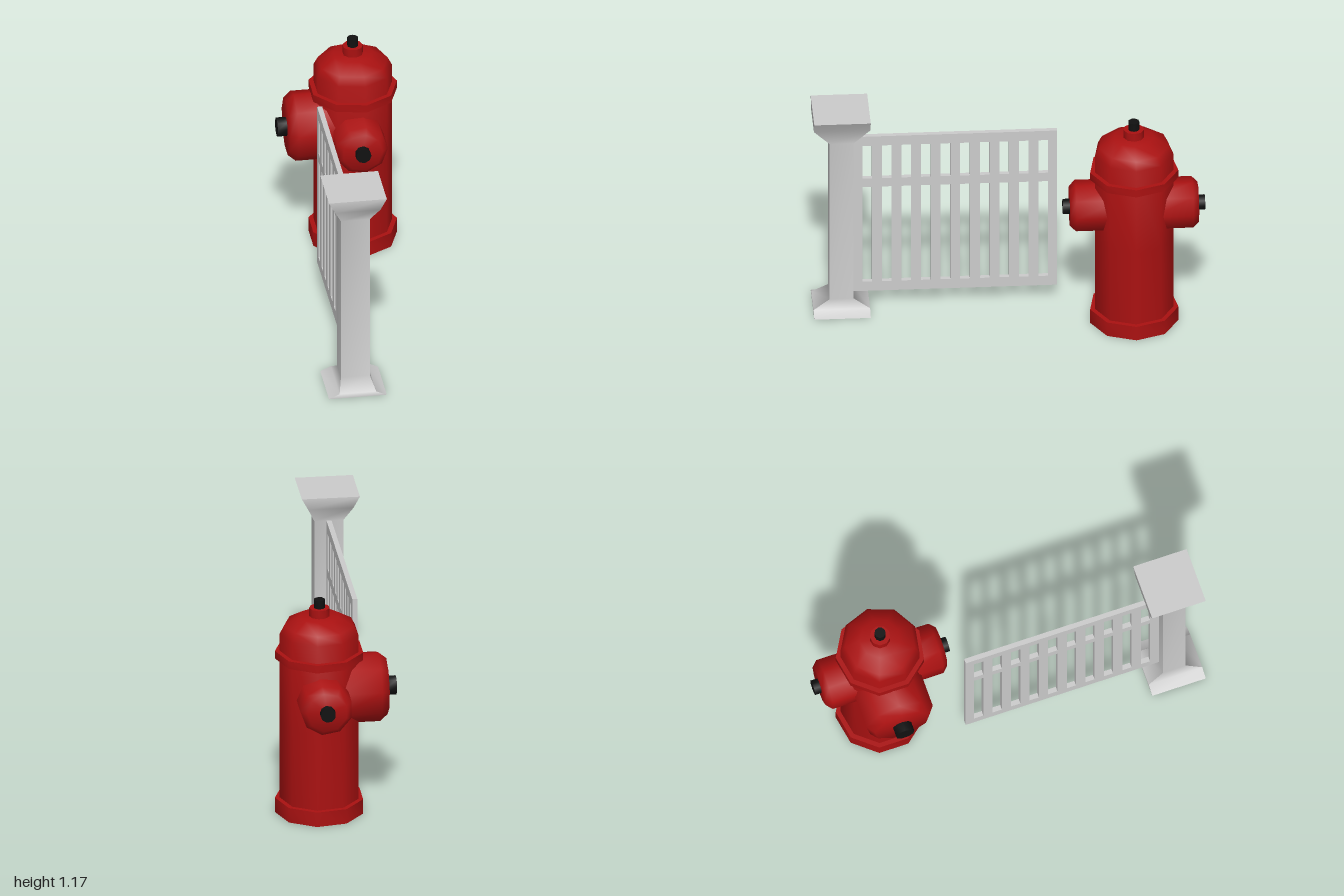
import * as THREE from 'three';
import { toCreasedNormals } from 'three/addons/utils/BufferGeometryUtils.js';

const grey = new THREE.MeshStandardMaterial({ color: 0xcccccc });
const red = new THREE.MeshStandardMaterial({ color: 0xaa1111, side: THREE.DoubleSide });
const black = new THREE.MeshStandardMaterial({ color: 0x111111 });

function add(parent, name, geometry, material) {
  const mesh = new THREE.Mesh(geometry, material);
  mesh.name = name;
  parent.add(mesh);
  return mesh;
}

// Nine-sided turned shape with a corner on +x; points are [radius, height]
function turned(points) {
  const profile = points.map(([r, y]) => new THREE.Vector2(r, y));
  return toCreasedNormals(new THREE.LatheGeometry(profile, 9, Math.PI / 2), 1.0);
}

const ring = (inner, outer, y0, y1) =>
  turned([[inner, y0], [outer, y0], [outer, y1], [inner, y1], [inner, y0]]);

// Capped outlet pointing up its own y axis, with a dark nut on the end
function outlet(name, radius, faceRadius, bevel, length, nutRadius, nutLength) {
  const group = new THREE.Group();
  group.name = name;
  add(group, name + 'Cap', turned([
    [radius, 0.08], [radius, length - bevel], [faceRadius, length], [0, length],
  ]), red);
  add(group, name + 'Nut', turned([
    [nutRadius, length], [nutRadius, length + nutLength], [0, length + nutLength],
  ]), black);
  group.position.y = 0.675;
  return group;
}

function createHydrant() {
  const hydrant = new THREE.Group();
  hydrant.name = 'hydrant';
  // Hollow barrel closed by a rounded dome
  add(hydrant, 'barrel', turned([
    [0.205, 0], [0.205, 0.5], [0.205, 0.99], [0.182, 1.035], [0.105, 1.08], [0, 1.08],
  ]), red);
  add(hydrant, 'baseRing', ring(0.2, 0.23, 0, 0.08), red);
  add(hydrant, 'upperRing', ring(0.2, 0.23, 0.853, 0.895), red);
  add(hydrant, 'topCollar', turned([[0.053, 1.07], [0.053, 1.125], [0, 1.125]]), red);
  add(hydrant, 'topNut', turned([[0.029, 1.12], [0.029, 1.17], [0, 1.17]]), black);

  // Two small outlets on the front and back, one large on the side
  for (const [name, side] of [['frontOutlet', 1], ['backOutlet', -1]]) {
    const small = outlet(name, 0.136, 0.105, 0.03, 0.33, 0.04, 0.035);
    small.rotation.x = side * Math.PI / 2;
    hydrant.add(small);
  }
  const large = outlet('sideOutlet', 0.183, 0.15, 0.04, 0.345, 0.05, 0.05);
  large.rotation.z = Math.PI / 2;
  hydrant.add(large);

  hydrant.position.set(0.08, 0, -0.635);
  return hydrant;
}

// Square post with flared foot and head: each side is a smooth strip, corners stay sharp
function postGeometry() {
  const sections = [ // [height, half width, half depth]
    [0, 0.15, 0.145], [0.025, 0.095, 0.145], [0.075, 0.075, 0.0615],
    [1.0, 0.075, 0.0615], [1.1, 0.117, 0.145], [1.16, 0.15, 0.145],
  ];
  const corners = [[-1, 1], [1, 1], [1, -1], [-1, -1]];
  const position = [], index = [];
  for (let s = 0; s < 4; s++) {
    const start = position.length / 3;
    for (const [y, w, d] of sections) {
      for (const [cx, cz] of [corners[s], corners[(s + 1) % 4]]) position.push(cx * w, y, cz * d);
    }
    for (let i = 0; i < sections.length - 1; i++) {
      const a = start + i * 2;
      index.push(a, a + 1, a + 3, a, a + 3, a + 2);
    }
  }
  // Flat underside and top
  for (const [section, order] of [[sections[0], [0, 2, 1, 0, 3, 2]], [sections[5], [0, 1, 2, 0, 2, 3]]]) {
    const start = position.length / 3;
    for (const [cx, cz] of corners) position.push(cx * section[1], section[0], cz * section[2]);
    index.push(...order.map((i) => start + i));
  }
  const geometry = new THREE.BufferGeometry();
  geometry.setAttribute('position', new THREE.Float32BufferAttribute(position, 3));
  geometry.setIndex(index);
  geometry.computeVertexNormals();
  return geometry;
}

function rectangle(path, x0, y0, x1, y1) {
  path.moveTo(x0, y0);
  path.lineTo(x1, y0);
  path.lineTo(x1, y1);
  path.lineTo(x0, y1);
  path.closePath();
  return path;
}

// Thin panel with two rows of upright slots, drawn along -z
function panelGeometry() {
  const shape = rectangle(new THREE.Shape(), -0.795, 0.08, 0.255, 1.0);
  for (let i = 0; i < 10; i++) {
    const x = -0.745 + i * 0.1005;
    shape.holes.push(rectangle(new THREE.Path(), x, 0.135, x + 0.05, 0.70));
    shape.holes.push(rectangle(new THREE.Path(), x, 0.75, x + 0.05, 0.945));
  }
  const geometry = new THREE.ExtrudeGeometry(shape, { depth: 0.026, bevelEnabled: false });
  return geometry.rotateY(Math.PI / 2);
}

export function createModel() {
  const model = new THREE.Group();
  model.name = 'hydrantAndFence';
  model.add(createHydrant());

  const fence = new THREE.Group();
  fence.name = 'fence';
  add(fence, 'post', postGeometry(), grey).position.set(-0.15, 0, 0.855);
  add(fence, 'slottedPanel', panelGeometry(), grey).position.x = -0.164;
  model.add(fence);
  return model;
}
